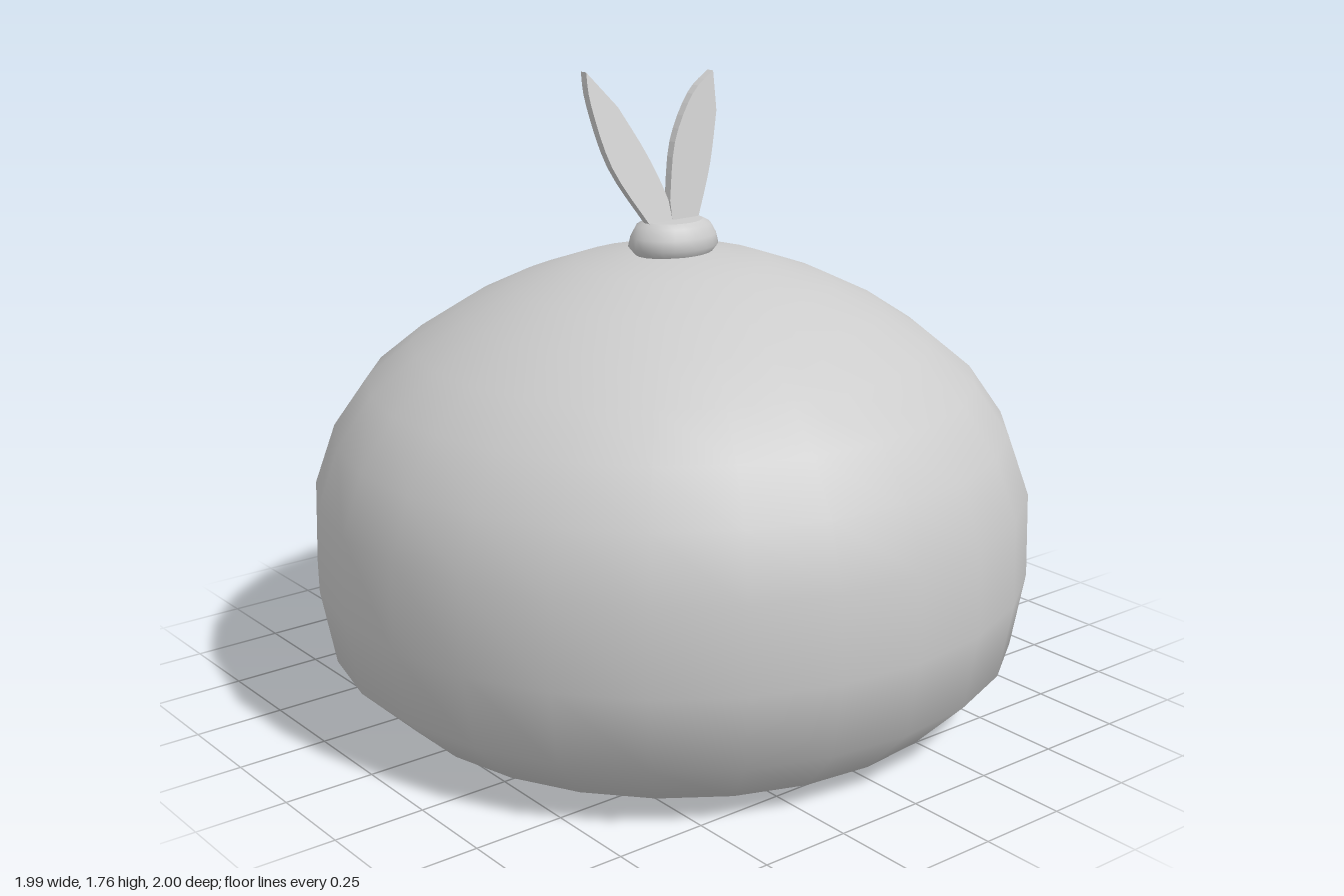
import * as THREE from 'three';

const material = new THREE.MeshStandardMaterial({ color: 0xcccccc, side: THREE.DoubleSide });
const SEGMENTS = 26;

function addMesh(parent, name, geometry) {
  const mesh = new THREE.Mesh(geometry, material);
  mesh.name = name;
  parent.add(mesh);
  return mesh;
}

// Rounded body: rings of [radius, height, centre x, centre z], drifting off centre
function bodyGeometry() {
  const rings = [
    [0.58, 0, -0.03, 0.05], [0.81, 0.045, -0.016, 0.03], [0.96, 0.18, -0.006, 0.01],
    [1, 0.385, 0, 0], [0.993, 0.62, -0.002, 0.003], [0.932, 0.79, -0.01, 0.012],
    [0.835, 0.93, -0.019, 0.024], [0.71, 1.035, -0.029, 0.038], [0.575, 1.125, -0.036, 0.05],
    [0.435, 1.195, -0.043, 0.06], [0.265, 1.258, -0.05, 0.07], [0.1, 1.283, -0.05, 0.075],
    [0, 1.285, -0.05, 0.075],
  ];
  const g = new THREE.LatheGeometry(rings.map(([r, y]) => new THREE.Vector2(r, y)), SEGMENTS);
  const p = g.attributes.position;
  for (let i = 0; i < p.count; i++) {
    const [, , cx, cz] = rings[i % rings.length];
    p.setXYZ(i, p.getX(i) + cx, p.getY(i), p.getZ(i) + cz);
  }
  return g;
}

// Leaf: flat outline given thickness, leaning back with height
function leafGeometry(base, outer, tip, inner, lean) {
  const shape = new THREE.Shape();
  shape.moveTo(...base[0]);
  shape.splineThru(outer.map(([x, y]) => new THREE.Vector2(x, y)));
  shape.lineTo(...tip);
  shape.splineThru(inner.map(([x, y]) => new THREE.Vector2(x, y)));
  shape.lineTo(...base[1]);
  shape.closePath();
  const g = new THREE.ExtrudeGeometry(shape, { depth: 0.024, bevelEnabled: false, curveSegments: 3 });
  const p = g.attributes.position;
  for (let i = 0; i < p.count; i++) {
    p.setZ(i, p.getZ(i) + 0.058 - lean * (p.getY(i) - 1.37));
  }
  g.computeVertexNormals();
  return g;
}

export function createModel() {
  const model = new THREE.Group();
  model.name = 'bulb';

  addMesh(model, 'body', bodyGeometry());

  // Flat underside
  const base = addMesh(model, 'underside', new THREE.CircleGeometry(0.58, SEGMENTS, Math.PI / 2));
  base.rotation.x = Math.PI / 2;
  base.position.set(-0.03, 0, 0.05);

  // Oval collar on top, with a flat lid
  const collar = new THREE.Group();
  collar.name = 'collar';
  collar.position.set(-0.05, 1.28, 0.073);
  collar.scale.z = 0.8;
  model.add(collar);
  const profile = [[0.112, 0], [0.131, 0.022], [0.124, 0.05], [0.108, 0.078], [0.085, 0.09]];
  addMesh(collar, 'collarSide',
    new THREE.LatheGeometry(profile.map(([r, y]) => new THREE.Vector2(r, y)), 24));
  const lid = addMesh(collar, 'collarLid', new THREE.CircleGeometry(0.085, 24));
  lid.rotation.x = -Math.PI / 2;
  lid.position.y = 0.09;

  // Two pointed leaves
  addMesh(model, 'rightLeaf', leafGeometry(
    [[-0.06, 1.35], [-0.12, 1.35]],
    [[-0.06, 1.42], [-0.1, 1.54], [-0.165, 1.67]],
    [-0.245, 1.765],
    [[-0.25, 1.68], [-0.222, 1.52], [-0.14, 1.37]], 0.33));
  addMesh(model, 'leftLeaf', leafGeometry(
    [[0.02, 1.35], [-0.06, 1.35]],
    [[0.03, 1.37], [0.09, 1.5], [0.135, 1.64]],
    [0.14, 1.745],
    [[0.06, 1.69], [-0.02, 1.57], [-0.06, 1.42]], 0.2));

  return model;
}
